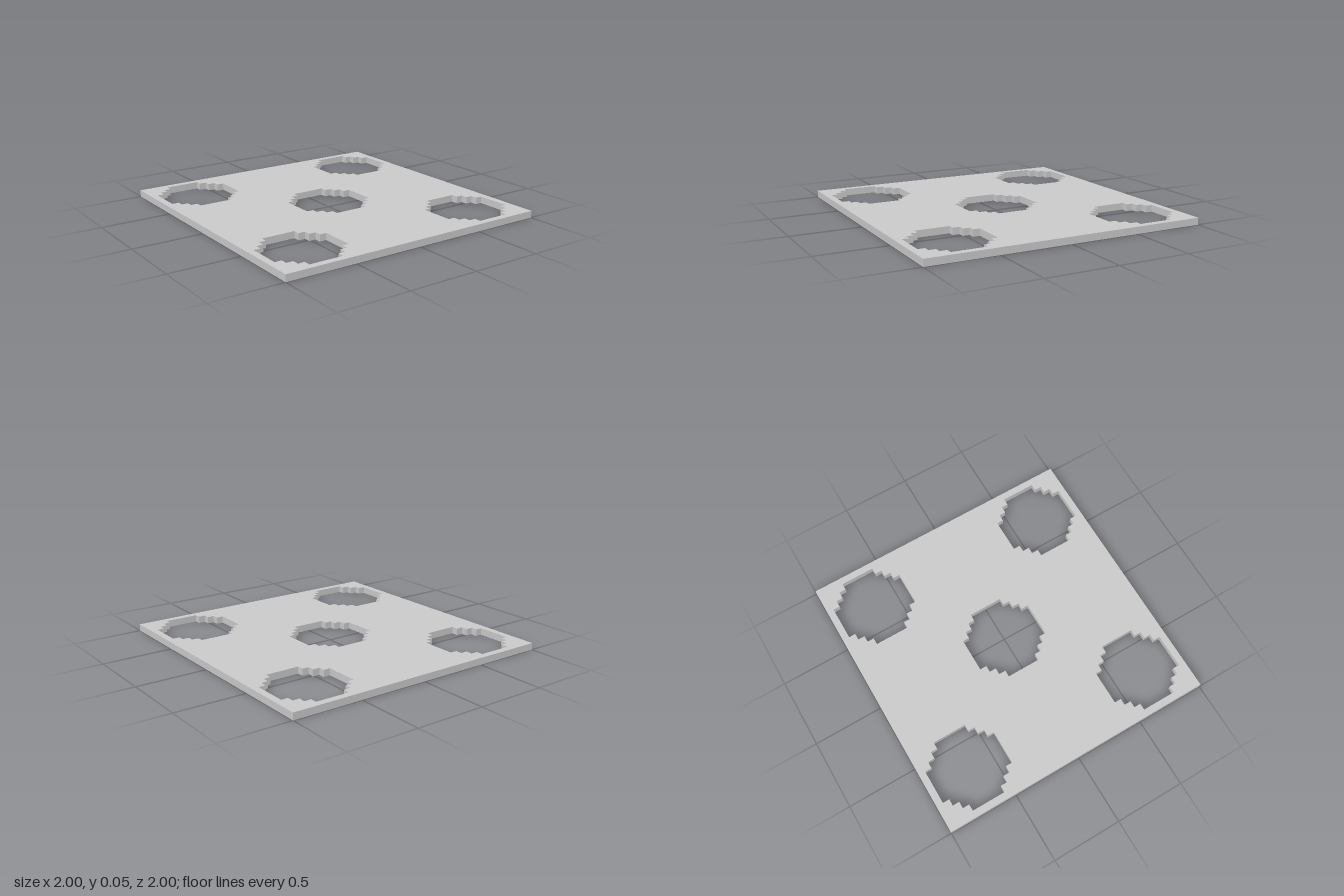
import * as THREE from 'three';

const CELL = 2 / 41; // the plate is 41 cells wide and one cell thick

// Stepped round hole, 11 cells across, centred on (cx, cy) in cells
function steppedHole(cx, cy) {
  const quarter = [[5.5, 2.5], [4.5, 2.5], [4.5, 3.5], [3.5, 3.5], [3.5, 4.5], [2.5, 4.5], [2.5, 5.5]];
  const points = [];
  for (let turn = 0; turn < 4; turn++) {
    for (const [a, b] of quarter) {
      const [x, y] = [[a, b], [-b, a], [-a, -b], [b, -a]][turn];
      points.push(new THREE.Vector2((cx + x) * CELL, (cy + y) * CELL));
    }
  }
  return new THREE.Path(points.reverse());
}

export function createModel() {
  const group = new THREE.Group();
  group.name = 'perforatedPlate';

  // Square outline with one central hole and four corner holes
  const outline = new THREE.Shape([[-1, -1], [1, -1], [1, 1], [-1, 1]].map(([x, y]) => new THREE.Vector2(x, y)));
  for (const [x, y] of [[0, 0], [-14, -14], [14, -14], [14, 14], [-14, 14]]) {
    outline.holes.push(steppedHole(x, y));
  }

  // Lay the extruded plate flat on the ground
  const geometry = new THREE.ExtrudeGeometry(outline, { depth: CELL, bevelEnabled: false });
  geometry.rotateX(-Math.PI / 2);
  const plate = new THREE.Mesh(geometry, new THREE.MeshStandardMaterial({ color: 0xcccccc, flatShading: true }));
  plate.name = 'plate';
  group.add(plate);
  return group;
}
